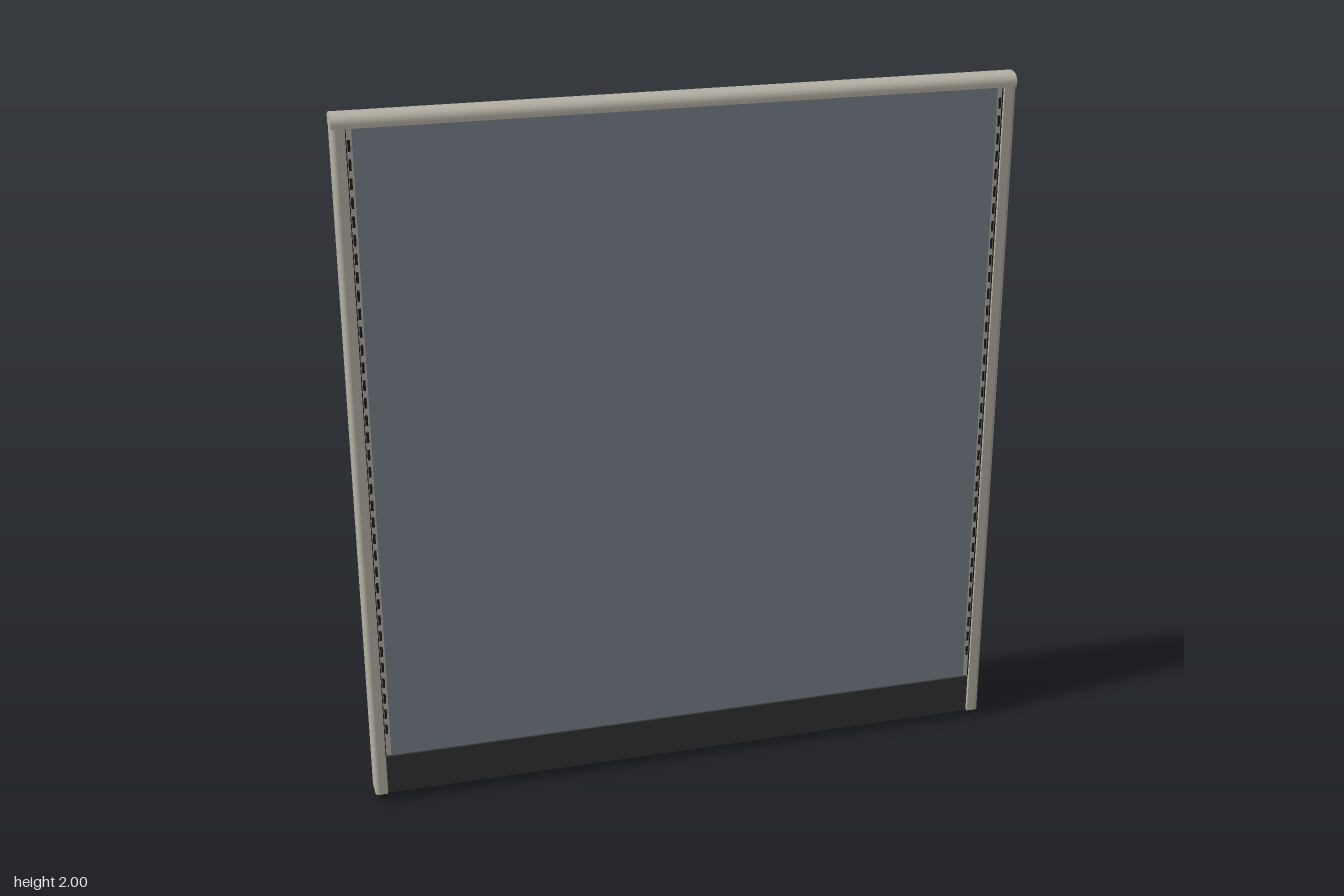
import * as THREE from 'three';

const paint = (color) => new THREE.MeshStandardMaterial({ color });

export function createModel() {
  const group = new THREE.Group();
  const beige = paint(0xb4b0a4), fabric = paint(0x7a828c), dark = paint(0x333333), black = paint(0x1c1c1c);

  const add = (name, geometry, material, x = 0, y = 0, z = 0, parent = group) => {
    const mesh = new THREE.Mesh(geometry, material);
    mesh.name = name;
    mesh.position.set(x, y, z);
    parent.add(mesh);
    return mesh;
  };
  const box = (name, w, y0, y1, d, material, x = 0, parent = group) =>
    add(name, new THREE.BoxGeometry(w, y1 - y0, d), material, x, (y0 + y1) / 2, 0, parent);

  // Fabric panel and kick plate
  box('fabricPanel', 1.744, 0.15, 1.968, 0.062, fabric);
  box('kickPlate', 1.772, 0.03, 0.148, 0.068, dark);

  // Top cap: domed section run along x
  const H = 0.039, R = 0.03;
  const dome = new THREE.Shape();
  dome.moveTo(-H, 1.963);
  dome.lineTo(H, 1.963);
  dome.lineTo(H, 1.972);
  dome.bezierCurveTo(H, 1.99, 0.024, 2, 0, 2);
  dome.bezierCurveTo(-0.024, 2, -H, 1.99, -H, 1.972);
  const capGeometry = new THREE.ExtrudeGeometry(dome, { depth: 1.848, bevelEnabled: false, curveSegments: 10 });
  capGeometry.translate(0, 0, -0.924).rotateY(Math.PI / 2);
  add('topCap', capGeometry, beige);

  // Post section: flat inner side, softly rounded outer corners
  const section = new THREE.Shape();
  const r = 0.012;
  section.moveTo(0.889, -H);
  section.lineTo(0.924 - r, -H);
  section.absarc(0.924 - r, -H + r, r, -Math.PI / 2, 0);
  section.lineTo(0.924, H - r);
  section.absarc(0.924 - r, H - r, r, 0, Math.PI / 2);
  section.lineTo(0.889, H);
  section.closePath();
  const postGeometry = new THREE.ExtrudeGeometry(section, { depth: 1.935, bevelEnabled: false, curveSegments: 6 });
  postGeometry.rotateX(-Math.PI / 2).translate(0, 0.03, 0);

  // Slots on one shared geometry
  const slotGeometry = new THREE.BoxGeometry(0.007, 0.03, 0.002);
  const slotCount = 35, firstSlot = 0.235, pitch = 0.0495;

  // Sides are alike: the right one is the left turned half round
  for (const [name, turn] of [['leftSide', 0], ['rightSide', Math.PI]]) {
    const side = new THREE.Group();
    side.name = name;
    side.rotation.y = turn;
    group.add(side);
    add('post', postGeometry, beige, 0, 0, 0, side);
    box('slottedStrip', 0.015, 0.15, 1.965, 0.058, beige, 0.8785, side);
    box('shadowGap', 0.004, 0.15, 1.965, 0.06, black, 0.888, side);
    for (const z of [-0.029, 0.029])
      for (let i = 0; i < slotCount; i++)
        add('slot', slotGeometry, black, 0.8805, firstSlot + i * pitch, z, side);
    // Levelling foot
    add('foot', new THREE.CylinderGeometry(0.012, 0.012, 0.032, 16), black, 0.904, 0.016, 0, side);
  }
  return group;
}
